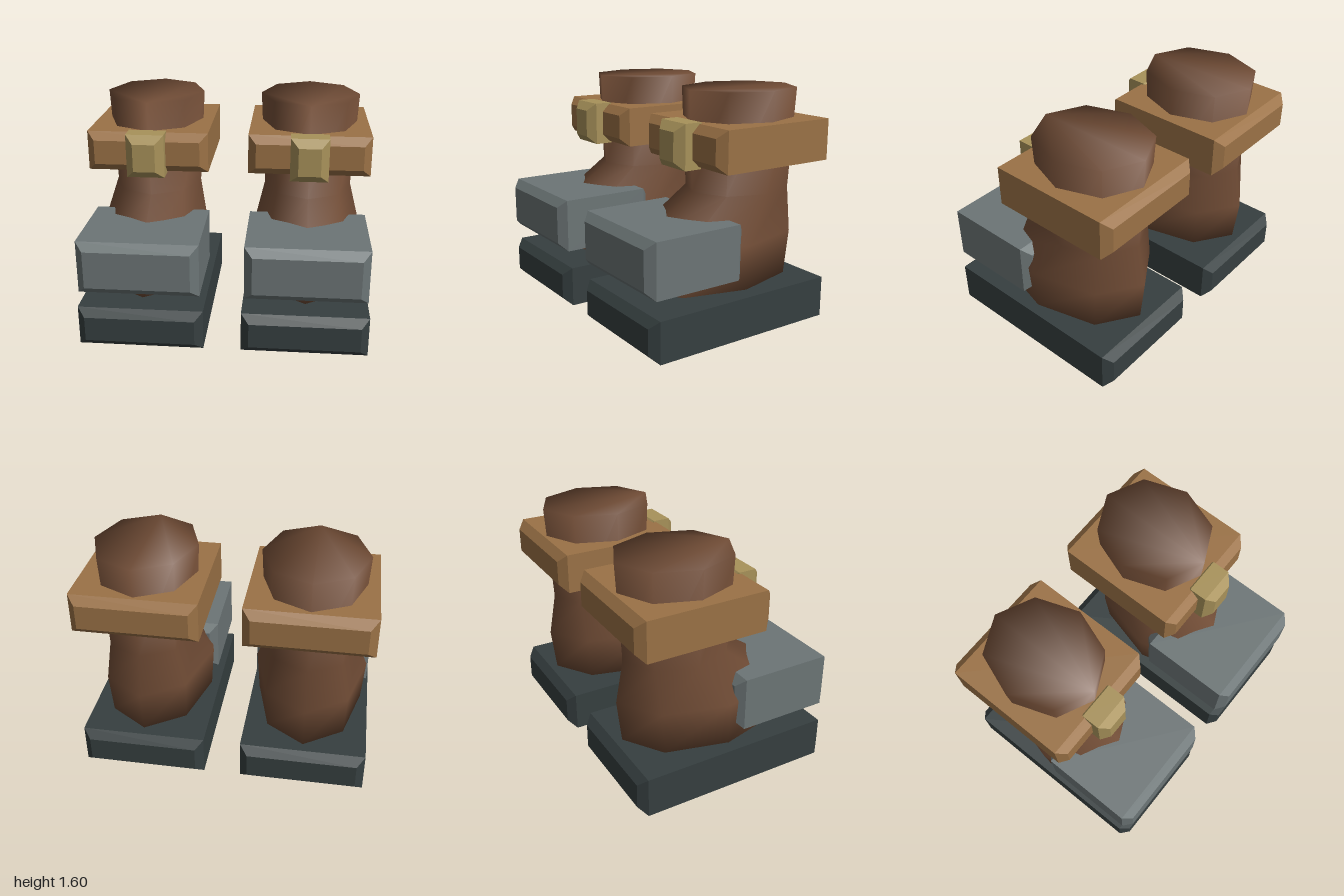
import * as THREE from 'three';

const CHAMFER = 0.055;
const material = (color, extra = {}) => new THREE.MeshStandardMaterial({ color, ...extra });

// Block whose front and back ends are chamfered, given by its bounds
function chamferedBlock(name, mat, [x0, x1], [y0, y1], [z0, z1]) {
  const w = (x1 - x0) / 2 - CHAMFER;
  const h = (y1 - y0) / 2 - CHAMFER;
  const shape = new THREE.Shape([
    new THREE.Vector2(-w, -h), new THREE.Vector2(w, -h),
    new THREE.Vector2(w, h), new THREE.Vector2(-w, h),
  ]);
  const geometry = new THREE.ExtrudeGeometry(shape, {
    depth: z1 - z0 - 2 * CHAMFER,
    bevelEnabled: true, bevelSegments: 1, bevelSize: CHAMFER, bevelThickness: CHAMFER,
  });
  const mesh = new THREE.Mesh(geometry, mat);
  mesh.name = name;
  mesh.position.set((x0 + x1) / 2, (y0 + y1) / 2, z0 + CHAMFER);
  return mesh;
}

// Eight-sided closed loft through rings of [y, half width, back z, front z]
function loft(rings, sides = 8) {
  const positions = [];
  const index = [];
  for (const [y, rx, back, front] of rings) {
    for (let i = 0; i < sides; i++) {
      const a = (i / sides) * Math.PI * 2;
      positions.push(rx * Math.sin(a), y, (front + back) / 2 + Math.cos(a) * (front - back) / 2);
    }
  }
  for (let r = 0; r < rings.length - 1; r++) {
    for (let i = 0; i < sides; i++) {
      const a = r * sides + i;
      const b = r * sides + (i + 1) % sides;
      index.push(a, b, b + sides, a, b + sides, a + sides);
    }
  }
  // End caps share the ring vertices, so shading rolls over the rims
  const top = (rings.length - 1) * sides;
  for (let i = 1; i < sides - 1; i++) {
    index.push(0, i + 1, i, top, top + i, top + i + 1);
  }
  const geometry = new THREE.BufferGeometry();
  geometry.setAttribute('position', new THREE.Float32BufferAttribute(positions, 3));
  geometry.setIndex(index);
  geometry.computeVertexNormals();
  return geometry;
}

export function createModel() {
  const model = new THREE.Group();
  model.name = 'pairOfBoots';

  const leather = material(0x734e37);
  const sole = material(0x363f40, { flatShading: true });
  const steel = material(0x6c7576, { flatShading: true });
  const tan = material(0x9b7246, { flatShading: true });
  const brass = material(0xa8925a, { flatShading: true });

  const upper = loft([
    [0.315, 0.38, -0.65, 0.56],
    [0.62, 0.4, -0.685, 0.585],
    [0.92, 0.32, -0.63, 0.125],
    [1.6, 0.355, -0.67, 0.155],
  ]);

  for (const [name, side] of [['leftBoot', 1], ['rightBoot', -1]]) {
    const boot = new THREE.Group();
    boot.name = name;
    boot.position.x = side * 0.565;

    const shaft = new THREE.Mesh(upper, leather);
    shaft.name = 'upper';
    boot.add(
      shaft,
      chamferedBlock('sole', sole, [-0.435, 0.435], [0, 0.285], [-0.74, 0.73]),
      chamferedBlock('toeCap', steel, [-0.415, 0.415], [0.41, 0.785], [-0.005, 0.745]),
      chamferedBlock('cuffStrap', tan, [-0.425, 0.425], [1.12, 1.4], [-0.735, 0.225]),
      chamferedBlock('buckle', brass, [-0.132, 0.132], [1.105, 1.41], [0.1, 0.335]),
    );
    model.add(boot);
  }
  return model;
}
